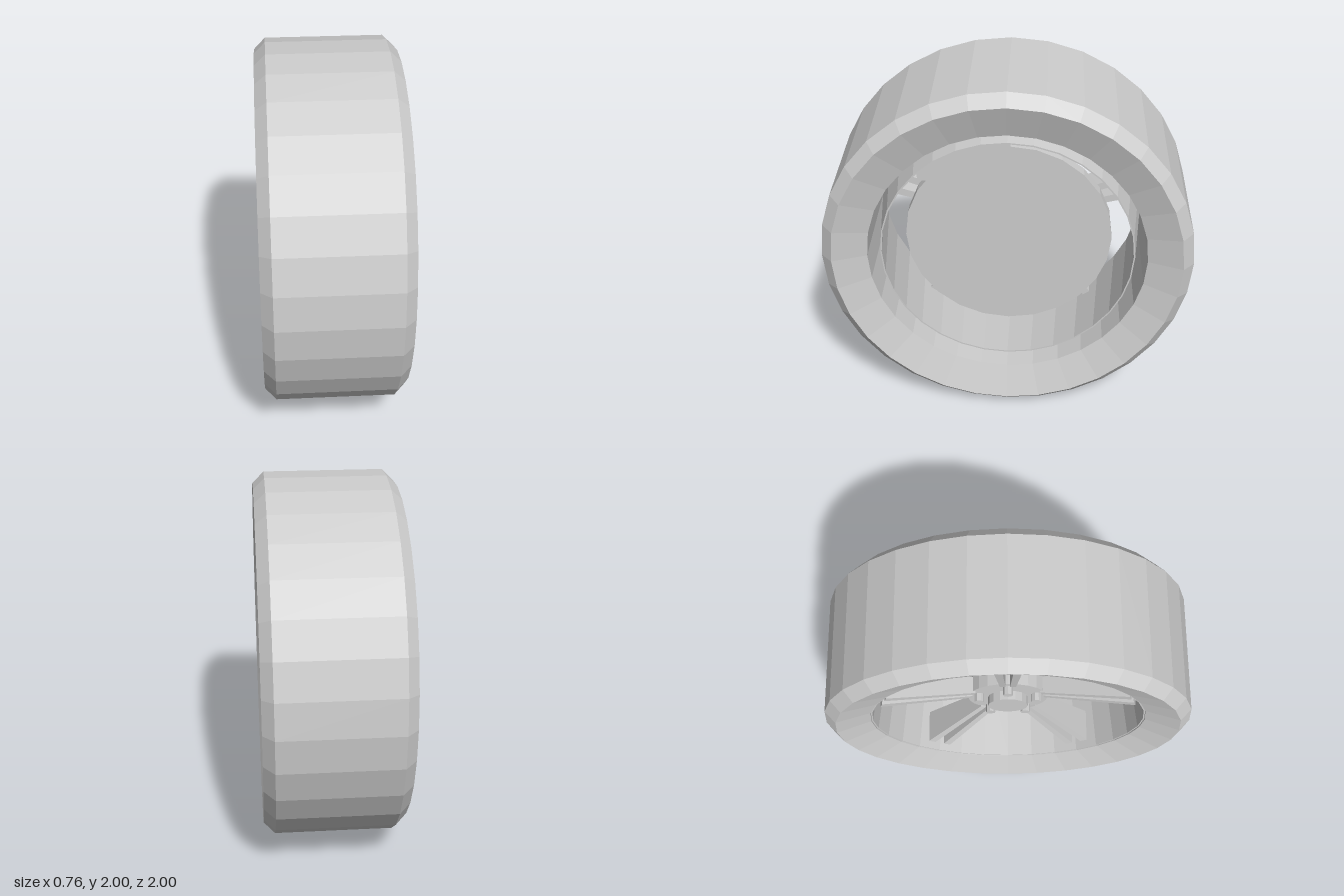
import * as THREE from 'three';

const grey = new THREE.MeshStandardMaterial({ color: 0xcccccc, side: THREE.DoubleSide, flatShading: true });
grey.name = 'light grey';

export function createModel() {
  const model = new THREE.Group();
  model.name = 'wheel';
  const wheel = new THREE.Group();
  wheel.name = 'wheelAssembly';
  wheel.position.y = 1; // axle height
  model.add(wheel);

  const add = (name, geometry, parent = wheel) => {
    const mesh = new THREE.Mesh(geometry, grey);
    mesh.name = name;
    parent.add(mesh);
    return mesh;
  };
  // Ring around the x axis from [x, radius] pairs
  const ring = (name, profile, sides) =>
    add(name, new THREE.LatheGeometry(profile.map(([x, r]) => new THREE.Vector2(r, x)), sides).rotateZ(-Math.PI / 2));
  // Solid cylinder along x between two positions
  const drum = (name, r, x0, x1, sides, parent) =>
    add(name, new THREE.CylinderGeometry(r, r, x1 - x0, sides).rotateZ(-Math.PI / 2).translate((x0 + x1) / 2, 0, 0), parent);

  // Tyre with bevelled shoulders and dished sidewalls
  ring('tyre', [[-0.315, 0.755], [-0.38, 0.94], [-0.32, 1], [0.32, 1], [0.38, 0.94], [0.315, 0.755], [-0.315, 0.755]], 32);

  // Thin rim barrel, narrowing toward the inner side
  ring('rimBarrel', [[-0.31, 0.753], [0.275, 0.69], [0.275, 0.682], [-0.31, 0.745], [-0.31, 0.753]], 32);

  // Brake
  drum('brakeDisc', 0.57, 0.03, 0.1, 24);
  add('brakeCaliper', new THREE.BoxGeometry(0.19, 0.28, 0.5).translate(0.025, 0.5, 0.24));

  // Hub
  drum('hubPlate', 0.22, -0.18, -0.09, 24);
  drum('axle', 0.11, -0.09, 0.03, 16);
  drum('centreCap', 0.11, -0.23, -0.18, 16);

  // Tapered spoke bar: narrow at the hub, wider and deeper at the rim
  const spokeBar = (side) => {
    const g = new THREE.BoxGeometry(1, 1, 1);
    const p = g.attributes.position;
    for (let i = 0; i < p.count; i++) {
      const outer = p.getY(i) > 0;
      const front = p.getX(i) < 0;
      const x = front ? (outer ? -0.28 : -0.19) : -0.1;
      const z = side * (outer ? 0.052 : 0.028) + p.getZ(i) * (outer ? 0.045 : 0.032);
      p.setXYZ(i, x, outer ? 0.7 : 0.2, z);
    }
    g.computeVertexNormals();
    return g;
  };

  // Five spoke pairs, each with a wheel nut at its foot
  for (let k = 0; k < 5; k++) {
    const spoke = new THREE.Group();
    spoke.name = 'spokePair';
    spoke.rotation.x = (k * Math.PI * 2) / 5;
    for (const side of [-1, 1]) add('spokeBar', spokeBar(side), spoke);
    drum('wheelNut', 0.027, -0.225, -0.18, 8, spoke).position.y = 0.165;
    wheel.add(spoke);
  }
  return model;
}
